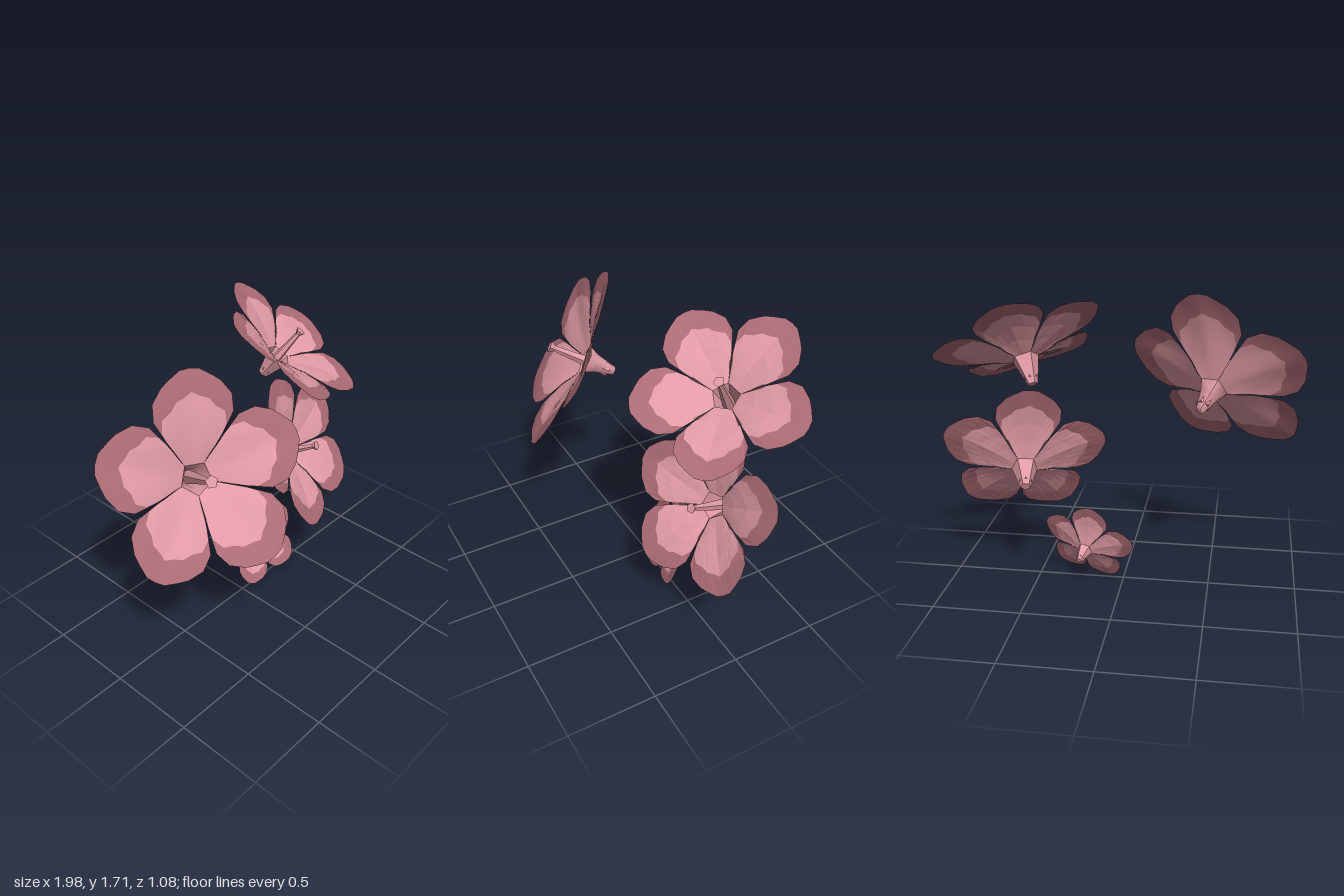
import * as THREE from 'three';

// Half outline of a petal from tip to side slit: [distance from axis, half width, pale share]
const OUTLINE = [
  [1.0, 0, 0.76], [0.99, 0.09, 0.72], [0.92, 0.2, 0.74], [0.86, 0.28, 0.7],
  [0.73, 0.375, 0.75], [0.57, 0.38, 0.76], [0.37, 0.262, 0.99],
];
// Side profile of the petals: [distance from axis, height above the flower base]
const PROFILE = [[0.13, 0.33], [0.3, 0.42], [0.55, 0.51], [0.8, 0.555], [1, 0.56], [2, 0.56]];
const THROAT = 0.16;

function petalHeight(r) {
  let i = 1;
  while (PROFILE[i][0] < r) i++;
  const [r0, h0] = PROFILE[i - 1], [r1, h1] = PROFILE[i];
  return h0 + (h1 - h0) * (r - r0) / (r1 - r0);
}

function finish(geometry, smooth) {
  const g = smooth ? geometry : geometry.toNonIndexed();
  g.computeVertexNormals();
  return g;
}

// Petal as a fan of columns from throat to outline, pale inside and dark at the rim
function petalGeometry(smooth) {
  const half = OUTLINE.length - 1, cols = 2 * half + 1;
  const paleRows = smooth ? 6 : 3, darkRows = smooth ? 3 : 1;
  const rows = paleRows + darkRows;
  const inner = THROAT * Math.cos(Math.PI / 5), innerHalf = THROAT * Math.sin(Math.PI / 5);
  const pos = [], index = [];
  for (let i = 0; i <= rows; i++) {
    for (let j = -half; j <= half; j++) {
      const [a, w, pale] = OUTLINE[Math.abs(j)];
      const t = i <= paleRows ? pale * i / paleRows : pale + (1 - pale) * (i - paleRows) / darkRows;
      const z = inner + (a - inner) * t;
      const x = Math.sign(j) * (innerHalf * Math.abs(j) / half * (1 - t) + w * t);
      // the middle rib sits a little lower than the sides
      const rib = -0.03 * Math.sin(Math.PI * t) * (1 - Math.min(1, Math.abs(x) / 0.2));
      pos.push(x, petalHeight(z) + rib, z);
    }
  }
  for (let i = 0; i < rows; i++) {
    for (let j = 0; j < cols - 1; j++) {
      const a = i * cols + j, b = a + 1, c = a + cols, d = c + 1;
      if (j < half) index.push(a, c, d, a, d, b);
      else index.push(a, c, b, b, c, d);
    }
  }
  const g = new THREE.BufferGeometry();
  g.setAttribute('position', new THREE.Float32BufferAttribute(pos, 3));
  g.setIndex(index);
  const split = paleRows * (cols - 1) * 6;
  const out = finish(g, smooth);
  out.clearGroups();
  out.addGroup(0, split, 0);
  out.addGroup(split, index.length - split, 1);
  return out;
}

// Five-sided tube behind the petals
function funnelGeometry(smooth) {
  const profile = smooth
    ? [[0.001, 0], [0.05, 0], [0.075, 0.1], [0.105, 0.22], [THROAT, 0.33]]
    : [[0.001, 0], [0.06, 0], [THROAT, 0.33]];
  const points = profile.map(([r, y]) => new THREE.Vector2(r, y));
  return finish(new THREE.LatheGeometry(points, 5, Math.PI / 5), smooth);
}

function buildFlower(name, { centre, petalDir, axis, radius, smooth }, mats) {
  const flower = new THREE.Group();
  flower.name = name;
  const add = (part, geometry, material) => {
    const mesh = new THREE.Mesh(geometry, material);
    mesh.name = part;
    flower.add(mesh);
    return mesh;
  };

  const petal = petalGeometry(smooth);
  for (let k = 0; k < 5; k++) {
    add('petal' + (k + 1), petal, [mats.pale, mats.dark]).rotation.y = k * Math.PI * 2 / 5;
  }
  add('funnel', funnelGeometry(smooth), mats.pale);

  // Tapered pistil with a flared tip
  const stem = new THREE.CylinderGeometry(0.03, 0.075, 0.62, 5);
  add('pistil', finish(stem, false), mats.pale).position.y = 0.38;
  const knob = new THREE.CylinderGeometry(0.062, 0.03, 0.06, 5);
  add('pistilTip', finish(knob, false), mats.pale).position.y = 0.71;

  // Local y runs along the flower axis, local z towards the first petal
  const n = new THREE.Vector3(...axis).normalize();
  const u = new THREE.Vector3(...petalDir);
  u.addScaledVector(n, -u.dot(n)).normalize();
  const side = new THREE.Vector3().crossVectors(n, u);
  flower.quaternion.setFromRotationMatrix(new THREE.Matrix4().makeBasis(side, n, u));
  flower.scale.setScalar(radius);
  flower.position.set(...centre).addScaledVector(n, -0.56 * radius);
  return flower;
}

export function createModel() {
  const material = (name, color) => {
    const m = new THREE.MeshStandardMaterial({ color, side: THREE.DoubleSide });
    m.name = name;
    return m;
  };
  const mats = { pale: material('pale pink', 0xe09aa5), dark: material('dusky pink', 0xac6c76) };

  const flowers = {
    largeFlower: {
      centre: [-0.53, 1.21, 0.235], petalDir: [0.134, 0.493, -0.22],
      axis: [-0.34, 0.465, 0.815], radius: 0.555, smooth: true,
    },
    upperFlower: {
      centre: [0.546, 1.456, -0.12], petalDir: [-0.011, 0.25, -0.404],
      axis: [0.362, 0.797, 0.484], radius: 0.475, smooth: false,
    },
    middleFlower: {
      centre: [0.575, 0.768, -0.01], petalDir: [-0.098, 0.416, -0.18],
      axis: [0.238, 0.432, 0.87], radius: 0.475, smooth: false,
    },
    smallFlower: {
      centre: [0.198, 0.25, -0.045], petalDir: [-0.032, 0.254, -0.11],
      axis: [-0.207, 0.367, 0.91], radius: 0.277, smooth: false,
    },
  };

  const model = new THREE.Group();
  model.name = 'flowers';
  for (const [name, spec] of Object.entries(flowers)) model.add(buildFlower(name, spec, mats));
  return model;
}
